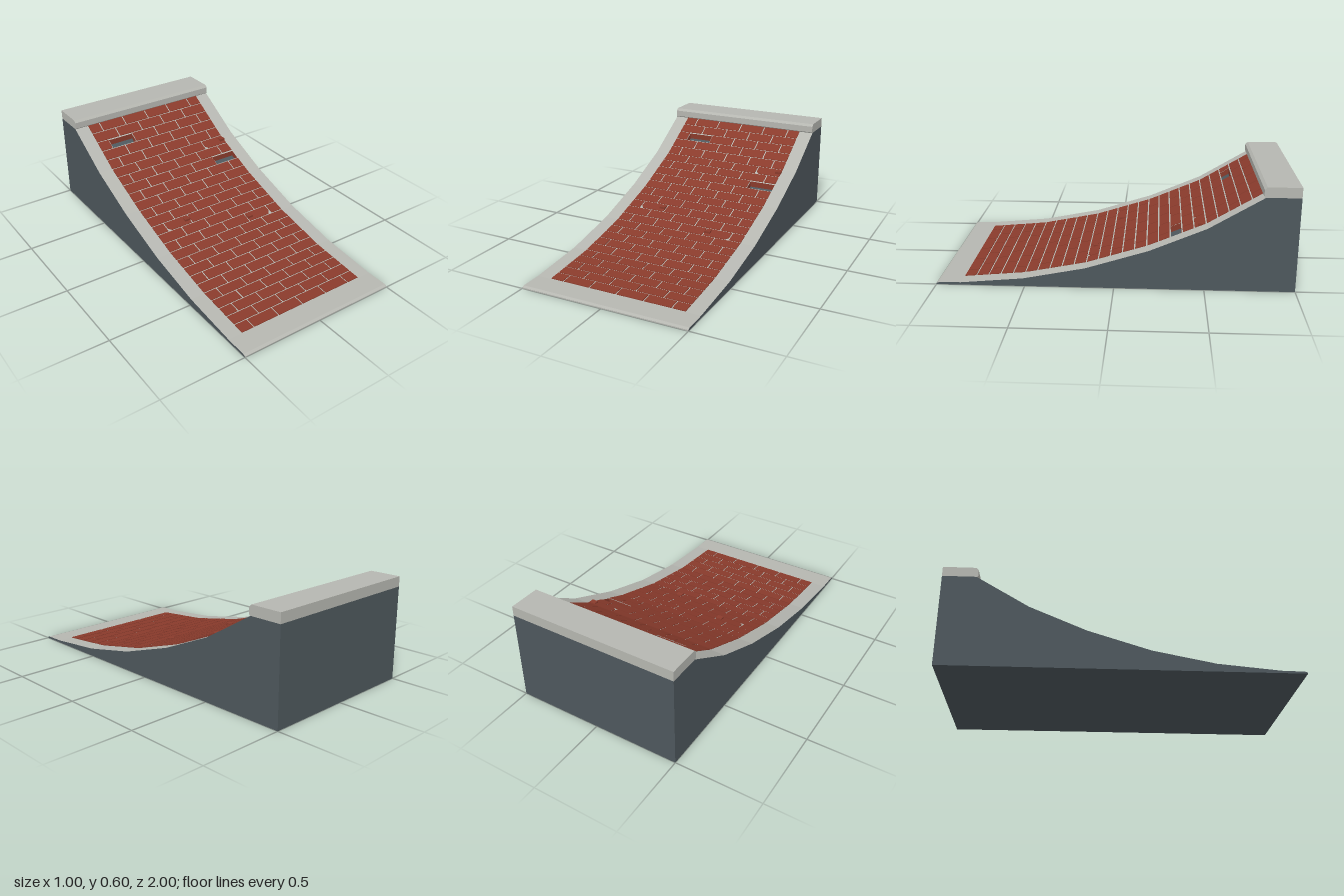
import * as THREE from 'three';

const concrete = new THREE.MeshStandardMaterial({ color: 0xb6b7b1, name: 'concrete' });
const brick = new THREE.MeshStandardMaterial({ color: 0x8a3b2c, name: 'brickRed' });
const slate = new THREE.MeshStandardMaterial({ color: 0x4e585d, name: 'slate', side: THREE.DoubleSide });

// Ramp profile as [z, y], from the front lip up to the back
const PROFILE = [[1, 0.006], [0.985, 0.012], [0.86, 0.014], [0.51, 0.046], [0.16, 0.115],
  [-0.19, 0.225], [-0.51, 0.362], [-0.81, 0.542], [-1, 0.542]];
const HALF = 0.5, ROWS = 25, EDGE = 0.412, STEP = 1 / 6, GAP = 0.004, RAISE = 0.004, DEPTH = 0.035;

// Distance along the profile, zero where the bricks begin
const LEN = [0];
for (let i = 1; i < PROFILE.length; i++) {
  LEN.push(LEN[i - 1] + Math.hypot(PROFILE[i][0] - PROFILE[i - 1][0], PROFILE[i][1] - PROFILE[i - 1][1]));
}
const START = LEN[2];
LEN.forEach((v, i) => { LEN[i] = v - START; });
const PITCH = LEN[7] / ROWS;

// Point on the ramp at width x and slope distance s, lifted by h
function at(x, s, h = 0) {
  let i = 1;
  while (i < LEN.length - 1 && s > LEN[i]) i++;
  const t = (s - LEN[i - 1]) / (LEN[i] - LEN[i - 1]);
  const [z0, y0] = PROFILE[i - 1], [z1, y1] = PROFILE[i];
  return [x, y0 + (y1 - y0) * t + h, z0 + (z1 - z0) * t];
}

const fan = (out, pts) => {
  for (let i = 1; i < pts.length - 1; i++) out.push(...pts[0], ...pts[i], ...pts[i + 1]);
};

function meshOf(name, positions, material) {
  const g = new THREE.BufferGeometry();
  g.setAttribute('position', new THREE.Float32BufferAttribute(positions, 3));
  g.computeVertexNormals();
  const m = new THREE.Mesh(g, material);
  m.name = name;
  return m;
}

const rect = (x0, x1, s0, s1) => [[x0, s0], [x1, s0], [x1, s1], [x0, s1]];
const rowSpan = r => [r * PITCH + GAP, (r + 1) * PITCH - GAP];

// Missing bricks
const HOLES = [{ row: 22, x0: -2 * STEP, x1: -STEP }, { row: 17, x0: 1.5 * STEP, x1: EDGE }]
  .map(h => ({ ...h, s0: rowSpan(h.row)[0], s1: rowSpan(h.row)[1] }));
// Chipped bricks, with the end where a loose stub sits
const CHIPS = [{ row: 19, x: 1.5 * STEP, stub: 0.395 }, { row: 12, x: -2 * STEP, stub: -0.187 },
  { row: 10, x: STEP, stub: 0.187 }];

export function createModel() {
  const ramp = new THREE.Group();
  ramp.name = 'brickRamp';

  // Sloped concrete surface, left open at the missing bricks
  const deck = [];
  const cuts = [...LEN.slice(0, 8), ...HOLES.flatMap(h => [h.s0, h.s1])].sort((a, b) => a - b);
  for (let i = 0; i < cuts.length - 1; i++) {
    const s0 = cuts[i], s1 = cuts[i + 1], mid = (s0 + s1) / 2;
    const hole = HOLES.find(h => mid > h.s0 && mid < h.s1);
    const spans = hole ? [[-HALF, hole.x0], [hole.x1, HALF]] : [[-HALF, HALF]];
    for (const [a, b] of spans) fan(deck, rect(a, b, s0, s1).map(p => at(...p)));
  }
  fan(deck, [[-HALF, 0, 1], [HALF, 0, 1], [HALF, 0.006, 1], [-HALF, 0.006, 1]]);
  ramp.add(meshOf('concreteSlope', deck, concrete));

  // Staggered brick courses, slightly proud of the mortar
  const bricks = [];
  const addBrick = pts => {
    fan(bricks, pts.map(p => at(...p, RAISE)));
    pts.forEach((a, i) => {
      const b = pts[(i + 1) % pts.length];
      fan(bricks, [at(...a), at(...b), at(...b, RAISE), at(...a, RAISE)]);
    });
  };
  for (let r = 0; r < ROWS; r++) {
    const [s0, s1] = rowSpan(r);
    for (let k = -3; k < 3; k++) {
      const left = (k + (r % 2 ? 0.5 : 0)) * STEP;
      if (left > EDGE - 0.02) continue;
      const x0 = Math.max(-EDGE, left + GAP), x1 = Math.min(EDGE, left + STEP - GAP);
      const same = o => o.row === r && Math.abs((o.x0 ?? o.x) - left) < 0.01;
      if (HOLES.some(same)) continue;
      const chip = CHIPS.find(same);
      if (!chip) addBrick(rect(x0, x1, s0, s1));
      else if (chip.stub > (x0 + x1) / 2) {
        addBrick([[x0 + 0.018, s0], [x1, s0], [x1, s1], [x0, s1], [x0, s0 + 0.02]]);
      } else addBrick([[x0, s0], [x1 - 0.018, s0], [x1, s0 + 0.02], [x1, s1], [x0, s1]]);
    }
    // A half brick opens every odd course on the left edge
    if (r % 2) continue;
  }
  ramp.add(meshOf('bricks', bricks, brick));

  // Recesses with brick walls and a slate floor
  const walls = [], floors = [];
  for (const h of HOLES) {
    const pts = rect(h.x0, h.x1, h.s0, h.s1);
    pts.forEach((a, i) => {
      const b = pts[(i + 1) % 4];
      fan(walls, [at(...b, -DEPTH), at(...a, -DEPTH), at(...a), at(...b)]);
    });
    fan(floors, pts.map(p => at(...p, -DEPTH)));
  }
  ramp.add(meshOf('recessWalls', walls, brick), meshOf('recessFloors', floors, slate));

  // Loose stubs on the chipped bricks
  for (const c of CHIPS) {
    const m = new THREE.Mesh(new THREE.BoxGeometry(0.036, 0.018, 0.03), brick);
    m.position.set(...at(c.stub, (c.row + 0.55) * PITCH, 0.002));
    m.name = 'brickStub';
    ramp.add(m);
  }

  // Slate sides, back and underside
  const outline = [[1, 0], ...PROFILE, [-1, 0]].map(p => new THREE.Vector2(...p));
  for (const x of [-HALF, HALF]) {
    const side = new THREE.Mesh(new THREE.ShapeGeometry(new THREE.Shape(outline)).rotateY(-Math.PI / 2), slate);
    if (x > 0) side.scale.x = -1;
    side.position.x = x;
    side.name = x > 0 ? 'leftSide' : 'rightSide';
    ramp.add(side);
  }
  const back = [], base = [];
  fan(back, [[HALF, 0, -1], [-HALF, 0, -1], [-HALF, 0.542, -1], [HALF, 0.542, -1]]);
  fan(base, [[-HALF, 0, -1], [HALF, 0, -1], [HALF, 0, 1], [-HALF, 0, 1]]);
  ramp.add(meshOf('back', back, slate), meshOf('underside', base, slate));

  // Concrete coping with chamfered front edges
  const cap = new THREE.Shape([[-1, 0.542], [-0.806, 0.542], [-0.8, 0.548], [-0.8, 0.586],
    [-0.815, 0.6], [-1, 0.6]].map(p => new THREE.Vector2(...p)));
  const coping = new THREE.Mesh(
    new THREE.ExtrudeGeometry(cap, { depth: 2 * HALF, bevelEnabled: false }).rotateY(-Math.PI / 2), concrete);
  coping.position.x = HALF;
  coping.name = 'coping';
  ramp.add(coping);

  return ramp;
}
